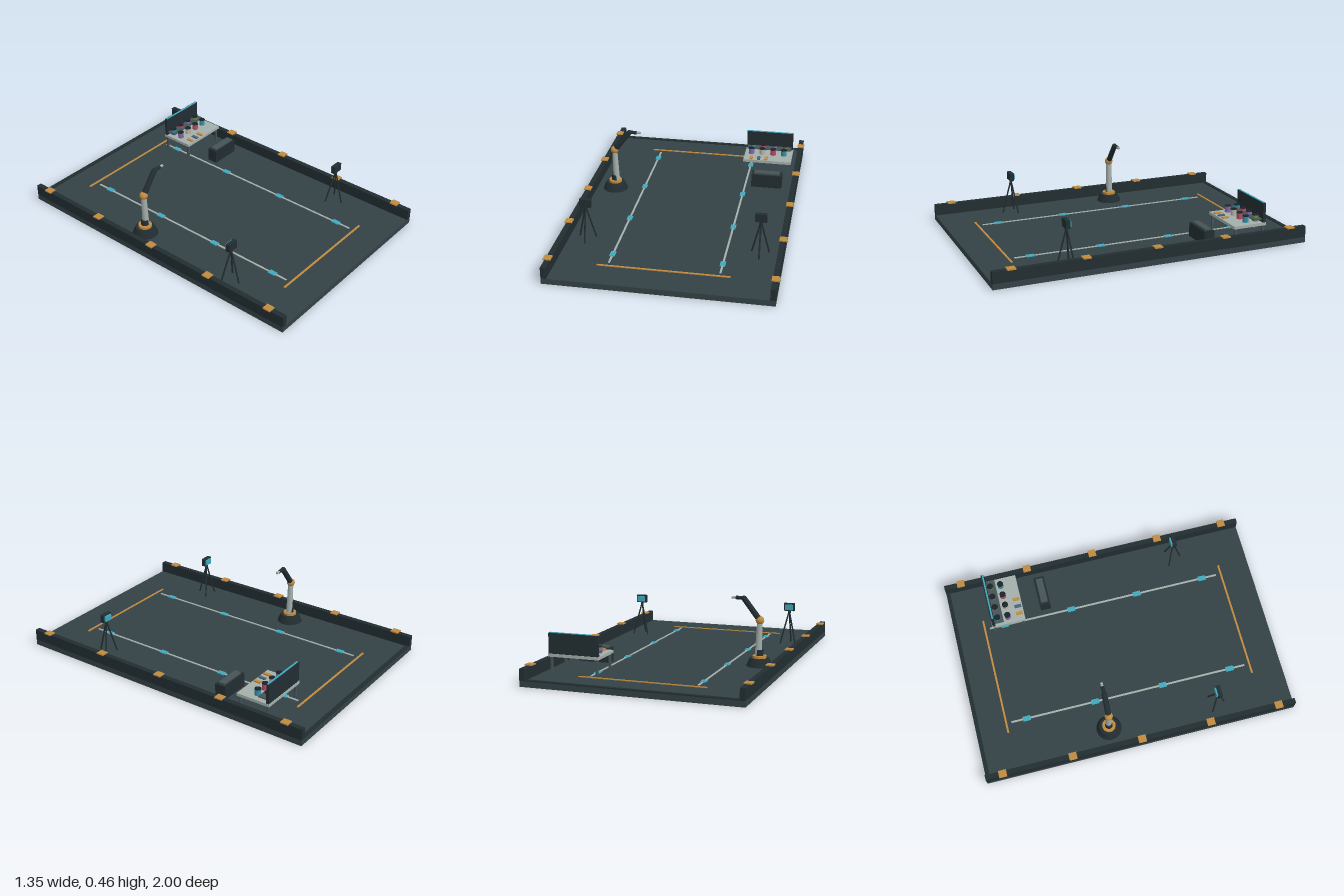
import * as THREE from 'three';

const mat = (color) => new THREE.MeshStandardMaterial({ color });
const M = {
  floor: mat(0x334145), dark: mat(0x222d31), grey: mat(0xa3aeaa), orange: mat(0xc08a3e),
  cyan: mat(0x3fa9bd), steel: mat(0x455357), blue: mat(0x4a6478), black: mat(0x1a2327),
};
const FLOOR = 0.035;

function add(parent, name, geometry, material, x = 0, y = 0, z = 0) {
  const mesh = new THREE.Mesh(geometry, material);
  mesh.name = name;
  mesh.position.set(x, y, z);
  parent.add(mesh);
  return mesh;
}

// Box placed by its bottom centre
function box(parent, name, material, w, h, d, x, y, z) {
  return add(parent, name, new THREE.BoxGeometry(w, h, d), material, x, y + h / 2, z);
}

// Upright cylinder or cone placed by its bottom centre
function drum(parent, name, material, rTop, rBottom, h, x, y, z, sides = 20) {
  return add(parent, name, new THREE.CylinderGeometry(rTop, rBottom, h, sides), material, x, y + h / 2, z);
}

// Round bar between two points
function bar(parent, name, material, a, b, rA, rB = rA, sides = 12) {
  const from = new THREE.Vector3(...a), to = new THREE.Vector3(...b);
  const dir = to.clone().sub(from);
  const mesh = add(parent, name, new THREE.CylinderGeometry(rB, rA, dir.length(), sides), material);
  mesh.position.copy(from).lerp(to, 0.5);
  mesh.quaternion.setFromUnitVectors(new THREE.Vector3(0, 1, 0), dir.normalize());
  return mesh;
}

function group(parent, name, x = 0, y = 0, z = 0) {
  const g = new THREE.Group();
  g.name = name;
  g.position.set(x, y, z);
  parent.add(g);
  return g;
}

function buildPlatform(root) {
  const g = group(root, 'platform');
  box(g, 'floorSlab', M.floor, 1.334, FLOOR, 2, 0, 0, 0);
  box(g, 'backLip', M.dark, 1.27, 0.006, 0.025, 0, FLOOR, -0.9875);
  for (const s of [-1, 1]) {
    box(g, 'sideWall', M.dark, 0.032, 0.105 - FLOOR, 2, s * 0.651, FLOOR, 0);
    for (let i = -2; i <= 2; i++) {
      box(g, 'wallCap', M.orange, 0.046, 0.008, 0.05, s * 0.654, 0.104, i * 0.445);
    }
    // Floor rails with markers, and the bars at both ends
    box(g, 'floorRail', M.grey, 0.012, 0.004, 1.54, s * 0.327, FLOOR, 0);
    for (const z of [-0.67, -0.223, 0.223, 0.67]) {
      box(g, 'railMarker', M.cyan, 0.032, 0.006, 0.05, s * 0.327, FLOOR, z);
    }
    box(g, 'endBar', M.orange, 0.78, 0.005, 0.012, 0, FLOOR, s * 0.803);
  }
}

function buildRobotArm(root) {
  const g = group(root, 'robotArm', -0.515, 0, -0.18);
  drum(g, 'armBase', M.dark, 0.06, 0.08, 0.048, 0, FLOOR, 0);
  drum(g, 'turntable', M.orange, 0.042, 0.042, 0.015, 0, 0.083, 0);
  drum(g, 'collar', M.dark, 0.022, 0.024, 0.035, 0, 0.098, 0);
  bar(g, 'lowerArm', M.grey, [0.008, 0.1, 0], [0, 0.31, 0], 0.021, 0.017, 16);
  add(g, 'elbow', new THREE.SphereGeometry(0.026, 16, 12), M.orange, 0, 0.312, 0);
  bar(g, 'upperArm', M.dark, [0, 0.312, 0], [0.1, 0.44, 0], 0.018, 0.017, 16);
  add(g, 'wristJoint', new THREE.SphereGeometry(0.017, 14, 10), M.dark, 0.1, 0.44, 0);
  bar(g, 'wrist', M.dark, [0.1, 0.443, 0], [0.15, 0.443, 0], 0.011);
  bar(g, 'toolTip', M.grey, [0.15, 0.443, 0], [0.176, 0.443, 0], 0.008);
}

function buildWorkbench(root) {
  const g = group(root, 'workbench', 0.45, 0, -0.64);
  box(g, 'tableTop', M.grey, 0.322, 0.018, 0.22, 0, 0.127, 0);
  for (const sx of [-1, 1]) for (const sz of [-1, 1]) {
    box(g, 'tableLeg', M.steel, 0.013, 0.127 - FLOOR, 0.013, sx * 0.145, FLOOR, sz * 0.094);
  }
  box(g, 'backPanel', M.dark, 0.316, 0.123, 0.018, 0, 0.145, -0.097);
  box(g, 'panelLight', M.cyan, 0.31, 0.006, 0.01, 0, 0.266, -0.094);
  box(g, 'rackShelf', M.steel, 0.3, 0.006, 0.065, 0, 0.162, -0.062);

  // Two rows of lidded jars
  const colors = [[0x8468ac, 0xb4b4ac, 0xb84a66, 0x3590a8], [0x3590a8, 0xb84a66, 0x8468ac, 0x6a8a4c]];
  [0.002, -0.065].forEach((z, row) => colors[row].forEach((color, i) => {
    const x = -0.117 + i * 0.074;
    drum(g, 'jar', mat(color), 0.019, 0.019, 0.038, x, 0.145, z, 16);
    drum(g, 'jarLid', M.black, 0.02, 0.02, 0.004, x, 0.183, z, 16);
  }));

  // Small hand tools along the front edge
  [M.orange, M.blue, M.orange].forEach((m, i) => {
    box(g, 'handTool', m, 0.02, 0.008, 0.044, -0.109 + i * 0.05, 0.145, 0.08);
  });
}

function buildToolCase(root) {
  const g = group(root, 'toolCase', 0.468, 0, -0.384);
  box(g, 'caseBody', M.dark, 0.2, 0.088, 0.068, 0, FLOOR, 0);
  box(g, 'caseLid', M.steel, 0.168, 0.01, 0.044, 0, FLOOR + 0.088, 0);
}

function buildTripod(root, x) {
  const g = group(root, 'sensorTripod', x, 0, 0.515);
  for (let i = 0; i < 3; i++) {
    const a = i * Math.PI * 2 / 3;
    bar(g, 'tripodLeg', M.dark, [Math.sin(a) * 0.06, FLOOR, Math.cos(a) * 0.06], [0, 0.255, 0], 0.005, 0.005, 8);
  }
  drum(g, 'tripodHub', M.dark, 0.01, 0.01, 0.02, 0, 0.24, 0, 12);
  box(g, 'sensorHead', M.dark, 0.07, 0.05, 0.026, 0, 0.255, 0.002);
  box(g, 'sensorScreen', M.cyan, 0.052, 0.036, 0.01, 0, 0.262, -0.015);
}

export function createModel() {
  const root = new THREE.Group();
  root.name = 'workshopPlatform';
  buildPlatform(root);
  buildRobotArm(root);
  buildWorkbench(root);
  buildToolCase(root);
  for (const s of [-1, 1]) buildTripod(root, s * 0.525);
  return root;
}
